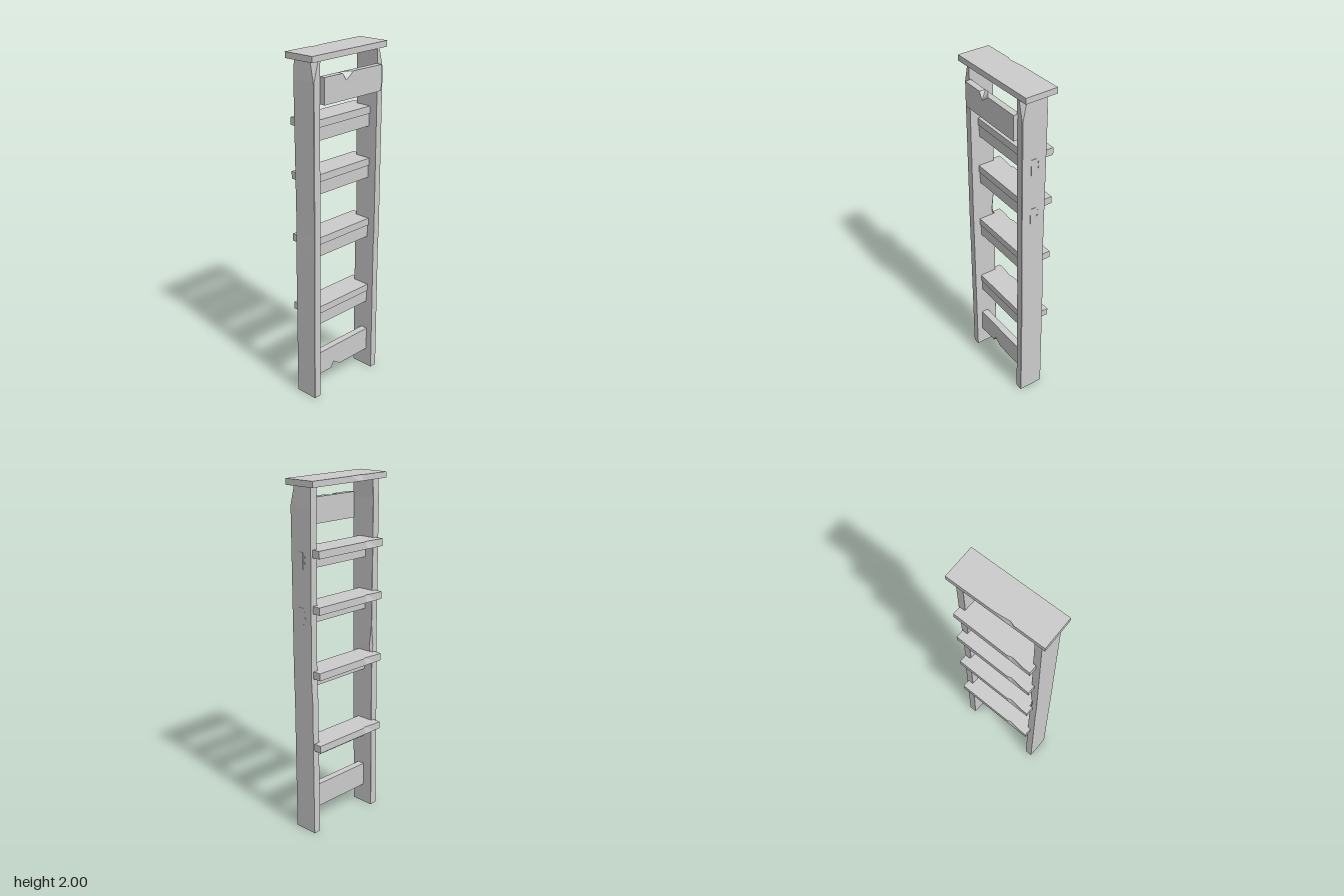
import * as THREE from 'three';

const material = new THREE.MeshStandardMaterial({ color: 0xcccccc, flatShading: true });

function addMesh(group, geometry, name) {
  const mesh = new THREE.Mesh(geometry, material);
  mesh.name = name;
  group.add(mesh);
  return mesh;
}

function addBox(group, name, [x0, x1], [y0, y1], [z0, z1]) {
  const box = new THREE.BoxGeometry(x1 - x0, y1 - y0, z1 - z0);
  box.translate((x0 + x1) / 2, (y0 + y1) / 2, (z0 + z1) / 2);
  return addMesh(group, box, name);
}

// Plank from an outline; the chip's tip runs out to nothing on the far face.
function plank(outline, depth, tip, flush) {
  const shape = new THREE.Shape(outline.map(([u, v]) => new THREE.Vector2(u, v)));
  const geometry = new THREE.ExtrudeGeometry(shape, { depth, bevelEnabled: false });
  const p = geometry.attributes.position;
  for (let i = 0; i < p.count; i++) {
    const atTip = Math.hypot(p.getX(i) - tip[0], p.getY(i) - tip[1]) < 1e-4;
    if (atTip && p.getZ(i) > depth / 2) p.setXY(i, flush[0], flush[1]);
  }
  geometry.computeVertexNormals();
  return geometry;
}

// Upright lofted through hand-hewn sections: y, back x, front x, outer z, front chamfer, inner nick.
function upright(sections, side, thickness) {
  const rings = sections.map(([y, x0, x1, outer, c, d]) => {
    const inner = outer - thickness;
    return [
      [x0 + d, inner], [x0, inner + d], [x0, outer],
      [x1 - c, outer], [x1, outer - c], [x1, inner],
    ].map(([x, z]) => [x, y, z * side]);
  });
  const positions = [];
  const tri = (a, b, c) => positions.push(...a, ...(side > 0 ? [...b, ...c] : [...c, ...b]));
  const n = rings[0].length;
  for (let r = 0; r < rings.length - 1; r++) {
    for (let i = 0; i < n; i++) {
      const j = (i + 1) % n;
      const [a, b, c, d] = [rings[r][i], rings[r][j], rings[r + 1][j], rings[r + 1][i]];
      tri(a, b, c);
      tri(a, c, d);
    }
  }
  const bottom = rings[0], top = rings[rings.length - 1];
  for (let i = 1; i < n - 1; i++) {
    tri(bottom[0], bottom[i + 1], bottom[i]);
    tri(top[0], top[i], top[i + 1]);
  }
  const geometry = new THREE.BufferGeometry();
  geometry.setAttribute('position', new THREE.Float32BufferAttribute(positions, 3));
  geometry.computeVertexNormals();
  return geometry;
}

export function createModel() {
  const group = new THREE.Group();
  group.name = 'ladder';

  // Uprights, leaning slightly, chamfered at the head
  const leftSections = [
    [0, -0.07, 0.07, 0.26, 0.002, 0.001],
    [0.88, -0.065, 0.078, 0.259, 0.002, 0.001],
    [1.02, -0.06, 0.08, 0.258, 0.002, 0.014],
    [1.14, -0.061, 0.08, 0.258, 0.002, 0.001],
    [1.86, -0.064, 0.083, 0.257, 0.003, 0.001],
    [1.968, -0.06, 0.084, 0.254, 0.028, 0.001],
  ];
  const rightSections = [
    [0, -0.072, 0.073, 0.264, 0.002, 0.001],
    [0.8, -0.067, 0.076, 0.265, 0.002, 0.001],
    [0.92, -0.06, 0.08, 0.265, 0.002, 0.001],
    [1.86, -0.064, 0.086, 0.265, 0.003, 0.001],
    [1.968, -0.062, 0.086, 0.262, 0.028, 0.001],
  ];
  addMesh(group, upright(leftSections, 1, 0.044), 'leftUpright');
  addMesh(group, upright(rightSections, -1, 0.044), 'rightUpright');

  // Cap board, a little askew, with a chip in its back edge
  const cap = plank([
    [-0.103, -0.288], [0.088, -0.293], [0.102, 0.285], [-0.088, 0.29],
    [-0.092, 0.113], [-0.084, 0.085], [-0.095, 0],
  ], 0.033, [-0.084, 0.085], [-0.093, 0.085]);
  cap.rotateX(Math.PI / 2).translate(0, 2, 0);
  addMesh(group, cap, 'capBoard');

  // Steps: a tread with ears behind the uprights, and a riser beneath
  [0.555, 0.98, 1.345, 1.645].forEach((top, i) => {
    const step = new THREE.Group();
    step.name = `step${i + 1}`;
    const tread = plank([
      [0.036, -0.223], [0.036, 0.217], [-0.066, 0.217], [-0.066, 0.235], [-0.115, 0.235],
      [-0.115, 0.19], [-0.106, 0.115], [-0.115, 0.093], [-0.115, -0.255],
      [-0.066, -0.255], [-0.066, -0.223],
    ], 0.042, [-0.106, 0.115], [-0.115, 0.115]);
    tread.rotateX(Math.PI / 2).translate(0, top, 0);
    addMesh(step, tread, 'tread');
    addBox(step, 'riser', [-0.008, 0.029], [top - 0.115, top - 0.04], [-0.223, 0.217]);

    // Joint end and pegs showing on the outside of the right upright
    if (i > 1) {
      addBox(step, 'jointEnd', [-0.004, 0.029], [top - 0.113, top - 0.02], [-0.267, -0.25]);
      for (const dy of [0.045, 0.075]) {
        addBox(step, 'peg', [-0.02, -0.013], [top - dy - 0.005, top - dy + 0.005], [-0.268, -0.25]);
      }
    }
    group.add(step);
  });

  // Upper brace, chipped along its top edge
  const upperBrace = plank([
    [-0.225, 1.742], [0.208, 1.742], [0.208, 1.885], [0.075, 1.885],
    [0.05, 1.845], [-0.005, 1.885], [-0.225, 1.885],
  ], 0.036, [0.05, 1.845], [0.05, 1.885]);
  upperBrace.rotateY(-Math.PI / 2).translate(0.111, 0, 0);
  addMesh(group, upperBrace, 'upperBrace');

  // Lower brace, chipped along its bottom edge
  const lowerBrace = plank([
    [-0.223, 0.115], [0.015, 0.115], [0.068, 0.15], [0.088, 0.115],
    [0.217, 0.115], [0.217, 0.255], [-0.223, 0.255],
  ], 0.042, [0.068, 0.15], [0.068, 0.115]);
  lowerBrace.rotateY(-Math.PI / 2).translate(0.034, 0, 0);
  addMesh(group, lowerBrace, 'lowerBrace');

  return group;
}
